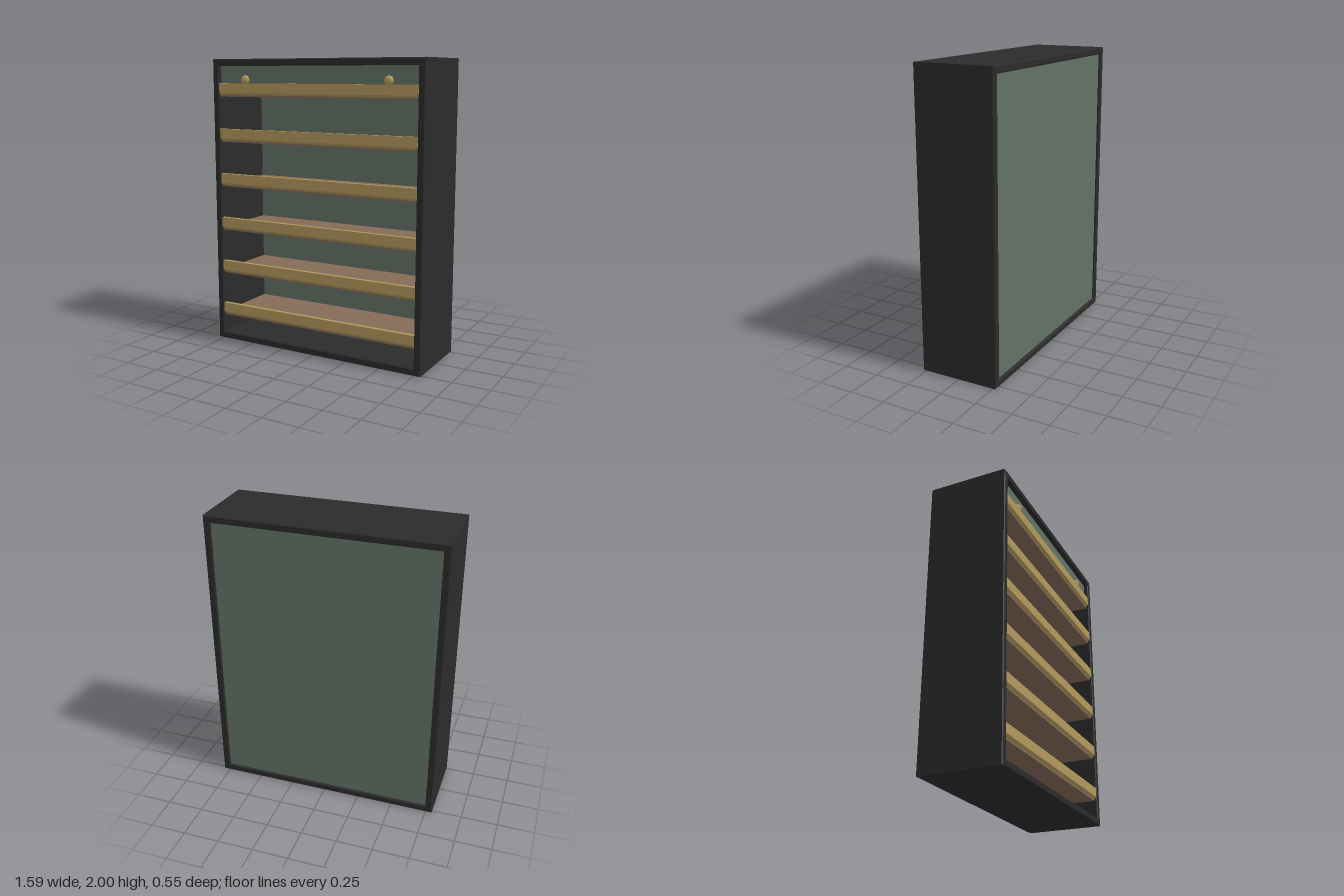
import * as THREE from 'three';

const W = 1.59, H = 2, D = 0.55, T = 0.047, BEVEL = 0.006;
const INNER = W - 2 * T;

const frameBlack = new THREE.MeshStandardMaterial({ color: 0x2b2b2b });
frameBlack.name = 'frameBlack';
const panelGreen = new THREE.MeshStandardMaterial({ color: 0x627266 });
panelGreen.name = 'panelGreen';
const shelfBrown = new THREE.MeshStandardMaterial({ color: 0x846b57 });
shelfBrown.name = 'shelfBrown';
const railGold = new THREE.MeshStandardMaterial({ color: 0xb2985c });
railGold.name = 'railGold';

function rectangle(PathType, w, y0, y1) {
  return new PathType([
    new THREE.Vector2(-w / 2, y0), new THREE.Vector2(w / 2, y0),
    new THREE.Vector2(w / 2, y1), new THREE.Vector2(-w / 2, y1),
  ]);
}

function add(group, name, geometry, material, x = 0, y = 0, z = 0) {
  const mesh = new THREE.Mesh(geometry, material);
  mesh.name = name;
  mesh.position.set(x, y, z);
  group.add(mesh);
  return mesh;
}

export function createModel() {
  const model = new THREE.Group();
  model.name = 'shelfCabinet';

  // Open case: one rectangular tube with softened edges
  const outline = rectangle(THREE.Shape, W - 2 * BEVEL, BEVEL, H - BEVEL);
  outline.holes.push(rectangle(THREE.Path, INNER + 2 * BEVEL, T - BEVEL, H - T + BEVEL));
  const frame = new THREE.ExtrudeGeometry(outline, {
    depth: D - 2 * BEVEL, bevelEnabled: true, bevelSize: BEVEL, bevelThickness: BEVEL, bevelSegments: 1,
  });
  add(model, 'caseFrame', frame, frameBlack, 0, 0, -D / 2 + BEVEL);

  // Recessed back panel
  add(model, 'backPanel', new THREE.BoxGeometry(INNER, H - 2 * T, 0.02), panelGreen, 0, H / 2, -0.25);

  // Rail cross-section (z, y) with a chamfered lower front edge
  const railShape = new THREE.Shape([
    new THREE.Vector2(0.243, 0), new THREE.Vector2(0.258, 0), new THREE.Vector2(0.27, 0.015),
    new THREE.Vector2(0.27, 0.08), new THREE.Vector2(0.243, 0.08),
  ]);
  const railGeometry = new THREE.ExtrudeGeometry(railShape, { depth: INNER, bevelEnabled: false });
  railGeometry.rotateY(-Math.PI / 2).translate(INNER / 2, 0, 0);
  // The turn sends the profile's z axis to +z and its depth to -x

  // Six level shelves, each with a front rail
  const shelfGeometry = new THREE.BoxGeometry(INNER, 0.025, 0.495);
  for (let i = 0; i < 6; i++) {
    const bottom = 0.173 + i * 0.3142;
    add(model, 'shelf' + (i + 1), shelfGeometry, shelfBrown, 0, bottom + 0.0125, 0.0075);
    add(model, 'shelfRail' + (i + 1), railGeometry, railGold, 0, bottom + 0.012, 0);
  }

  // Top front panel with two knobs
  add(model, 'topFrontPanel', new THREE.BoxGeometry(INNER, 0.185, 0.02), panelGreen, 0, 1.8615, 0.232);
  const knobGeometry = new THREE.SphereGeometry(0.033, 8, 6).rotateX(Math.PI / 2).scale(1, 1, 0.75);
  for (const side of [-1, 1]) {
    add(model, side < 0 ? 'rightKnob' : 'leftKnob', knobGeometry, railGold, side * 0.54, 1.86, 0.249);
  }

  return model;
}
